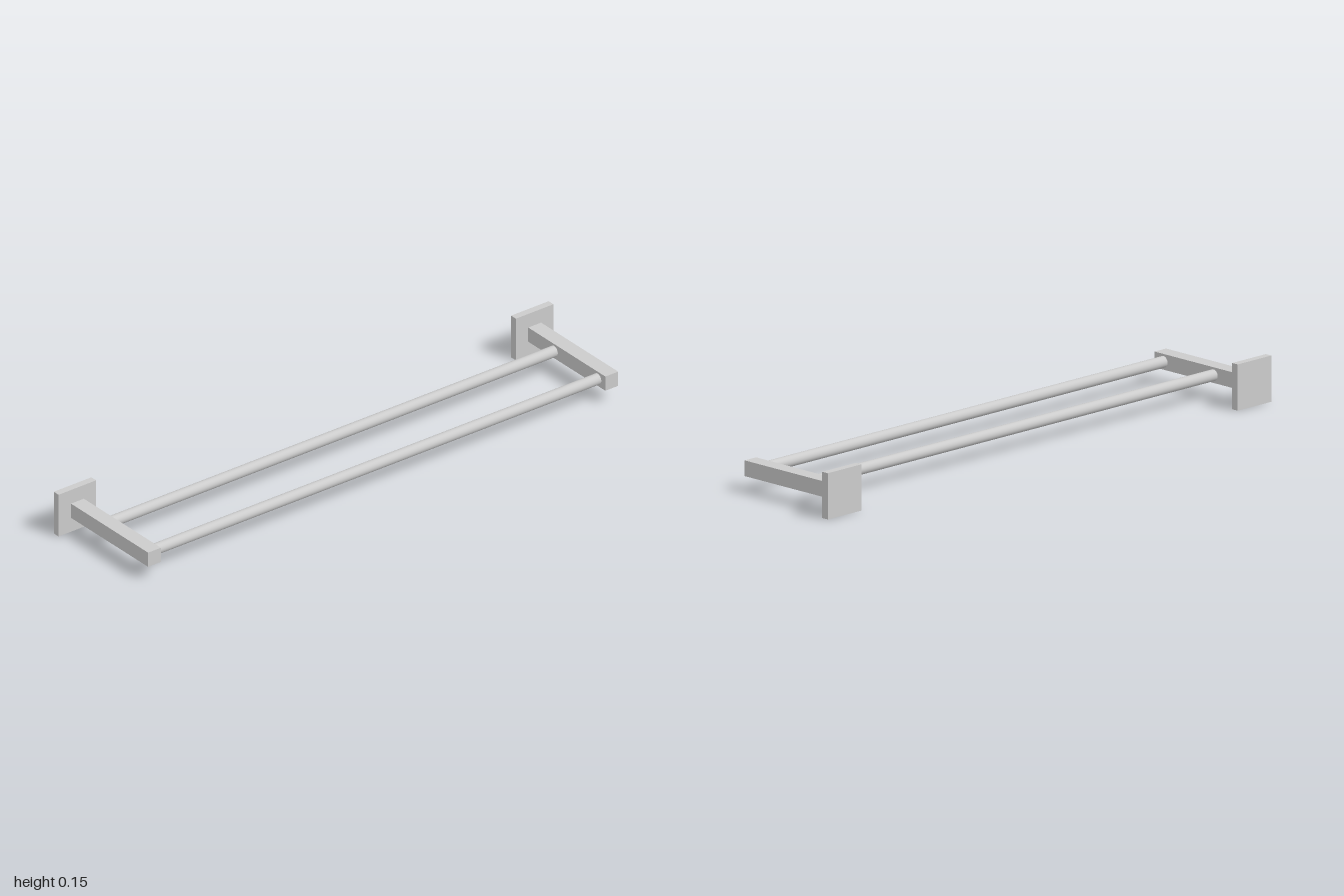
import * as THREE from 'three';

const material = new THREE.MeshStandardMaterial({ color: 0xcccccc });

function addBox(parent, name, size, position) {
  const mesh = new THREE.Mesh(new THREE.BoxGeometry(...size), material);
  mesh.name = name;
  mesh.position.set(...position);
  parent.add(mesh);
}

export function createModel() {
  const model = new THREE.Group();
  model.name = 'doubleTowelRail';
  const barY = 0.077;

  // Square wall plate and projecting arm on each side
  for (const [side, s] of [['left', 1], ['right', -1]]) {
    const bracket = new THREE.Group();
    bracket.name = `${side}Bracket`;
    addBox(bracket, `${side}WallPlate`, [0.152, 0.153, 0.025], [s * 0.924, 0.0765, -0.2]);
    addBox(bracket, `${side}Arm`, [0.052, 0.052, 0.401], [s * 0.924, barY, 0.0125]);
    model.add(bracket);
  }

  // Two round rails between the arms
  const barGeometry = new THREE.CylinderGeometry(0.019, 0.019, 1.8, 32).rotateZ(Math.PI / 2);
  for (const [name, z] of [['backRail', -0.053], ['frontRail', 0.173]]) {
    const bar = new THREE.Mesh(barGeometry, material);
    bar.name = name;
    bar.position.set(0, barY, z);
    model.add(bar);
  }
  return model;
}
